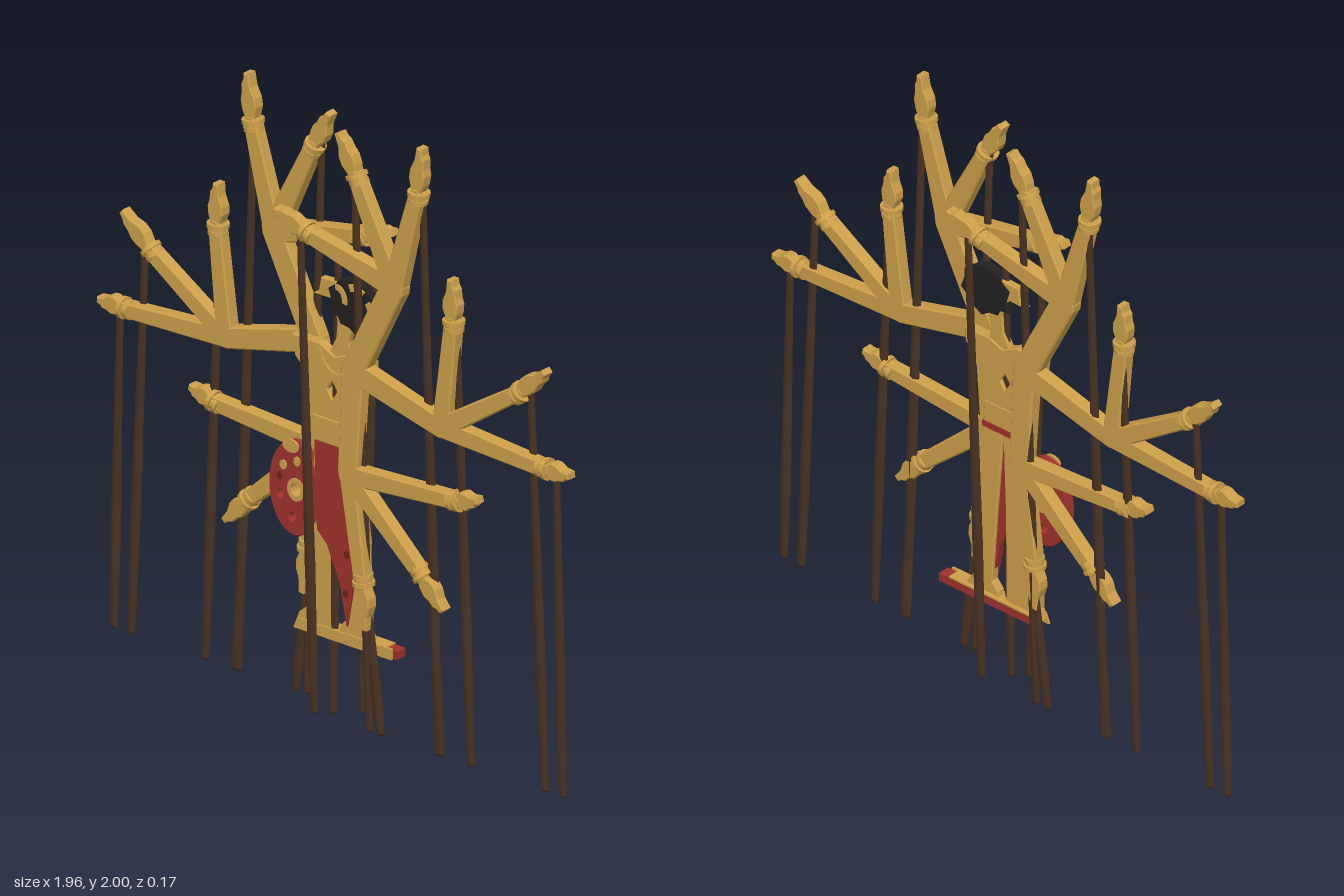
import * as THREE from 'three';

const material = (name, color) => {
  const m = new THREE.MeshStandardMaterial({ color });
  m.name = name;
  return m;
};
const gold = material('gilded hide', 0xcda04a);
const red = material('red cloth', 0xa0322c);
const darkRed = material('dark red dots', 0x6e221e);
const horn = material('dark horn rod', 0x4a3323);
const black = material('black hair', 0x222020);

const V = (x, y) => new THREE.Vector2(x, y);

function add(parent, name, geometry, mat) {
  const mesh = new THREE.Mesh(geometry, mat);
  mesh.name = name;
  parent.add(mesh);
  return mesh;
}

// Flat cut-out from z0 to z1 with chamfered rims and optional holes
function plate(parent, name, points, z0, z1, mat, bevel = 0, holes = []) {
  const shape = new THREE.Shape(points.map(p => V(p[0], p[1])));
  holes.forEach(h => shape.holes.push(new THREE.Path(h.map(p => V(p[0], p[1])))));
  const geo = new THREE.ExtrudeGeometry(shape, {
    depth: z1 - z0 - 2 * bevel, bevelEnabled: bevel > 0, bevelThickness: bevel,
    bevelSize: bevel, bevelOffset: -bevel, bevelSegments: 1,
  });
  geo.translate(0, 0, z0 + bevel);
  return add(parent, name, geo, mat);
}

function ellipse(x, y, rx, ry, n = 24) {
  return Array.from({ length: n }, (_, i) => {
    const a = i / n * Math.PI * 2;
    return [x + rx * Math.cos(a), y + ry * Math.sin(a)];
  });
}

// Curved band following an arc of an ellipse
function arcBand(x, y, rx, ry, a0, a1, width, n = 10) {
  const edge = d => Array.from({ length: n + 1 }, (_, i) => {
    const a = a0 + (a1 - a0) * i / n;
    return [x + (rx + d) * Math.cos(a), y + (ry + d) * Math.sin(a)];
  });
  return [...edge(width / 2), ...edge(-width / 2).reverse()];
}

// Tapered limb with rounded ends between two joints
function limb(parent, name, a, b, wa, wb, z) {
  const ang = Math.atan2(b[1] - a[1], b[0] - a[0]);
  const cap = (p, w, from) => Array.from({ length: 6 }, (_, i) => {
    const t = ang + from + i / 5 * Math.PI;
    return [p[0] + w / 2 * Math.cos(t), p[1] + w / 2 * Math.sin(t)];
  });
  plate(parent, name, [...cap(b, wb, -Math.PI / 2), ...cap(a, wa, Math.PI / 2)],
    z - 0.022, z + 0.022, gold, 0.005);
}

// Wrist rings and pointed hand, placed along the arm direction
function hand(parent, wrist, tip, z, s) {
  const g = new THREE.Group();
  g.name = 'hand';
  const d = V(tip[0] - wrist[0], tip[1] - wrist[1]);
  const L = d.length();
  const pts = [[-.018, 0], [-.02, .12], [-.031, .32], [-.03, .5], [-.016, .72], [-.012, 1],
    [.008, 1], [.012, .86], [.02, .78], [.022, .6], [.029, .45], [.026, .25], [.018, .1], [.018, 0]];
  plate(g, 'palm and fingers', pts.map(p => [p[0] * s, p[1] * L]), -0.02, 0.02, gold, 0.004);
  [[0.036, 0.004], [0.032, -0.02]].forEach(([r, y]) => {
    add(g, 'bracelet', new THREE.CylinderGeometry(r, r, 0.014, 14), gold).position.y = y;
  });
  add(g, 'wrist bead', new THREE.CylinderGeometry(0.028, 0.028, 0.03, 12), gold).position.y = -0.008;
  g.position.set(wrist[0], wrist[1], z);
  g.rotation.z = Math.atan2(d.y, d.x) - Math.PI / 2;
  parent.add(g);
}

// Slender control rod, thickest below its middle and flattened in depth
function rod(parent, top, bottomX, z) {
  const dx = top[0] - bottomX, L = Math.hypot(dx, top[1]);
  const profile = [[0, 0], [.012, 0], [.016, .008], [.021, L * .3], [.016, L * .75], [.014, L], [0, L]];
  const mesh = add(parent, 'controlRod',
    new THREE.LatheGeometry(profile.map(p => V(p[0], p[1])), 8), horn);
  mesh.scale.z = 0.5;
  mesh.position.set(bottomX, 0, z);
  mesh.rotation.z = -Math.atan2(dx, top[1]);
}

// Branches: start joint, wrist, fingertip, rod foot
const shoulder = [0.12, 1.19], hip = [0.1, 0.84], upperElbow = [0.28, 1.51], sideElbow = [0.47, 1.1];
const branches = [
  [upperElbow, [0.37, 1.84], [0.387, 2.0], 0.44],
  [upperElbow, [0.125, 1.83], [0.058, 1.96], 0.165],
  [upperElbow, [-0.075, 1.59], [-0.195, 1.635], -0.055],
  [sideElbow, [0.88, 1.077], [0.98, 1.08], 0.935],
  [sideElbow, [0.775, 1.3], [0.885, 1.4], 0.865],
  [sideElbow, [0.51, 1.455], [0.508, 1.6], 0.57],
  [hip, [0.525, 0.87], [0.615, 0.895], null],
  [hip, [0.385, 0.585], [0.475, 0.49], 0.45],
  [hip, [0.15, 0.495], [0.163, 0.34], 0.21],
];

function armTree(s) {
  const g = new THREE.Group();
  g.name = s > 0 ? 'leftArms' : 'rightArms';
  const z = s * 0.047, m = p => [p[0] * s, p[1]];
  limb(g, 'flank', m(shoulder), m(hip), 0.085, 0.075, z);
  limb(g, 'upperArm', m(shoulder), m(upperElbow), 0.085, 0.085, z);
  limb(g, 'sideArm', m(shoulder), m(sideElbow), 0.08, 0.07, z);
  branches.forEach(([a, wrist, tip, foot], i) => {
    limb(g, 'forearm', m(a), m(wrist), i < 3 ? 0.075 : 0.065, 0.05, z);
    hand(g, m(wrist), m(tip), z, s);
    const grip = wrist.map((w, k) => w + (tip[k] - w) * 0.3);
    if (foot !== null) rod(g, m(grip), foot * s, s > 0 ? 0.037 : -0.058);
  });
  return g;
}

function body() {
  const g = new THREE.Group();
  g.name = 'body';
  // Torso with a pierced diamond, belt and legs
  plate(g, 'torso', [[-.16, 1.22], [-.05, 1.22], [.01, 1.19], [.06, 1.21], [.16, 1.21], [.16, 1.16], [.12, 1.1],
    [.08, .97], [-.07, .97], [-.1, 1.1], [-.15, 1.15]], -.016, .019, gold, .004,
    [[[-.02, 1.075], [0, 1.045], [.018, 1.075], [0, 1.105]]]);
  plate(g, 'necklace', arcBand(.025, 1.215, .075, .085, Math.PI * 1.05, Math.PI * 1.95, .014), .019, .025, gold);
  plate(g, 'belt', [[-.075, .98], [.08, .98], [.085, .89], [-.075, .89]], -.018, .022, gold, .004);
  plate(g, 'waistband', [[-.072, .905], [.085, .905], [.085, .885], [-.072, .885]], -.022, .0, red);
  plate(g, 'rightLeg', [[-.07, .9], [.005, .9], [-.005, .6], [-.008, .3], [.0, .27], [-.15, .27], [-.14, .3],
    [-.105, .33], [-.11, .6]], -.018, .012, gold, .003);
  plate(g, 'leftLeg', [[.005, .9], [.09, .9], [.13, .6], [.122, .33], [.15, .29], [.15, .27], [.02, .27],
    [.025, .3], [.05, .33], [.03, .6]], -.018, .012, gold, .003);
  // Draped cloth with dots
  plate(g, 'skirt', [[-.07, .9], [.08, .9], [.085, .82], [.12, .7], [.12, .62], [.085, .45], [.06, .31],
    [.03, .45], [-.02, .56], [-.06, .6]], -.008, .022, red, .003);
  [[.066, .69], [.062, .55], [.058, .42]].forEach(([x, y]) =>
    plate(g, 'skirtDot', ellipse(x, y, .011, .013, 10), .021, .025, darkRed));
  // Pierced round panel at the hip
  const holes = [[-.21, .675], [-.16, .61], [-.1, .64]].map(([x, y]) => ellipse(x, y, .012, .014, 10));
  holes.push(ellipse(-.145, .705, .026, .03, 12));
  plate(g, 'hipDisc', ellipse(-.155, .705, .1, .155, 32), -.018, .016, red, .003, holes);
  plate(g, 'discRing', ellipse(-.145, .705, .034, .038, 16), -.02, .02, gold, 0,
    [ellipse(-.145, .705, .02, .022, 12)]);
  [[-.165, .845, .032, .022], [-.195, .775, .014, .016], [-.14, .8, .013, .016]].forEach(([x, y, rx, ry]) =>
    plate(g, 'discOrnament', ellipse(x, y, rx, ry, 14), .013, .02, gold));
  plate(g, 'discDot', ellipse(-.21, .735, .011, .013, 10), .013, .019, darkRed);
  // Ground bar: gilded front and lid, red core
  plate(g, 'groundBar', [[-.13, .25], [.25, .25], [.25, .278], [-.13, .278]], -.032, .009, red);
  plate(g, 'groundBarFront', [[-.155, .248], [.235, .248], [.235, .284], [-.14, .284]], .009, .018, gold);
  plate(g, 'groundBarLid', [[-.13, .278], [.21, .278], [.21, .284], [-.13, .284]], -.032, .009, gold);
  return g;
}

function head() {
  const g = new THREE.Group();
  g.name = 'head';
  plate(g, 'faceAndNeck', [[-.08, 1.375], [-.06, 1.385], [-.05, 1.435], [.05, 1.44], [.12, 1.39], [.08, 1.31], [.06, 1.25],
    [.07, 1.19], [-.02, 1.19], [.01, 1.25], [.015, 1.31], [-.01, 1.375]], -.012, .013, gold, .003);
  plate(g, 'hair', [[-.015, 1.33], [-.005, 1.37], [-.018, 1.41], [.01, 1.43], [.03, 1.455], [.08, 1.462], [.12, 1.455],
    [.135, 1.435], [.165, 1.42], [.165, 1.385], [.178, 1.35], [.155, 1.33], [.155, 1.295], [.12, 1.295],
    [.095, 1.28], [.065, 1.3], [.03, 1.305], [.02, 1.325]], -.016, .018, black, .003);
  [[.09, 1.38, .055, .06, .9, 1.9, .024], [.1, 1.37, .055, .055, -.2, .7, .02], [.02, 1.385, .032, .04, -.2, 1.7, .018]]
    .forEach(a => plate(g, 'hairOrnament', arcBand(...a), .017, .023, gold));
  return g;
}

export function createModel() {
  const model = new THREE.Group();
  model.name = 'shadowPuppet';
  model.add(body(), head(), armTree(1), armTree(-1));
  rod(model, [0.012, 1.53], -0.01, 0.003);
  return model;
}
